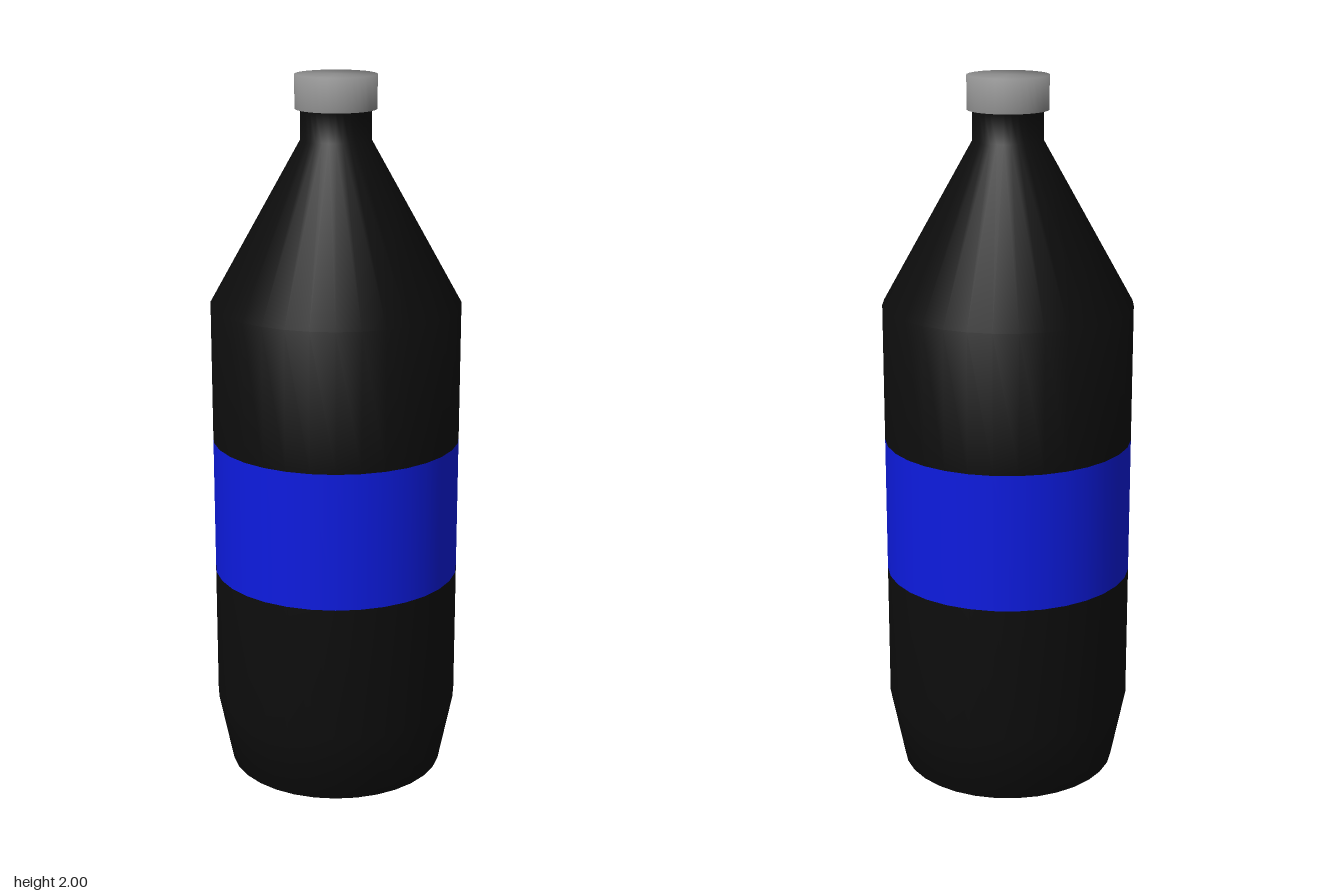
import * as THREE from 'three';

const SEGMENTS = 32;

// Revolves a bottom-to-top [radius, height] profile into a named part
function turned(name, color, profile) {
  const points = profile.map(([r, y]) => new THREE.Vector2(r, y));
  const mesh = new THREE.Mesh(
    new THREE.LatheGeometry(points, SEGMENTS),
    new THREE.MeshStandardMaterial({ color, side: THREE.DoubleSide })
  );
  mesh.name = name;
  return mesh;
}

export function createModel() {
  const group = new THREE.Group();
  group.name = 'bottle';
  const R = 0.349;
  const black = 0x0d0d0d;

  // Lower body: recessed underside, tapered foot, straight wall up to the label
  group.add(turned('lowerBody', black, [
    [0, 0.05], [0.2, 0.045], [0.25, 0], [0.308, 0], [R, 0.205], [R, 0.595],
  ]));

  // Label band, flush with the wall
  group.add(turned('label', 0x0d1be0, [[R, 0.595], [R, 0.985]]));

  // Upper body: wall, sloping shoulder, neck and the lip under the cap
  group.add(turned('upperBody', black, [
    [R, 0.985], [R, 1.375], [0.097, 1.825], [0.097, 1.908], [0.112, 1.908],
  ]));

  // Cap with softly shaded top
  group.add(turned('cap', 0x8c8c8c, [[0.112, 1.908], [0.112, 2], [0, 2]]));

  return group;
}
